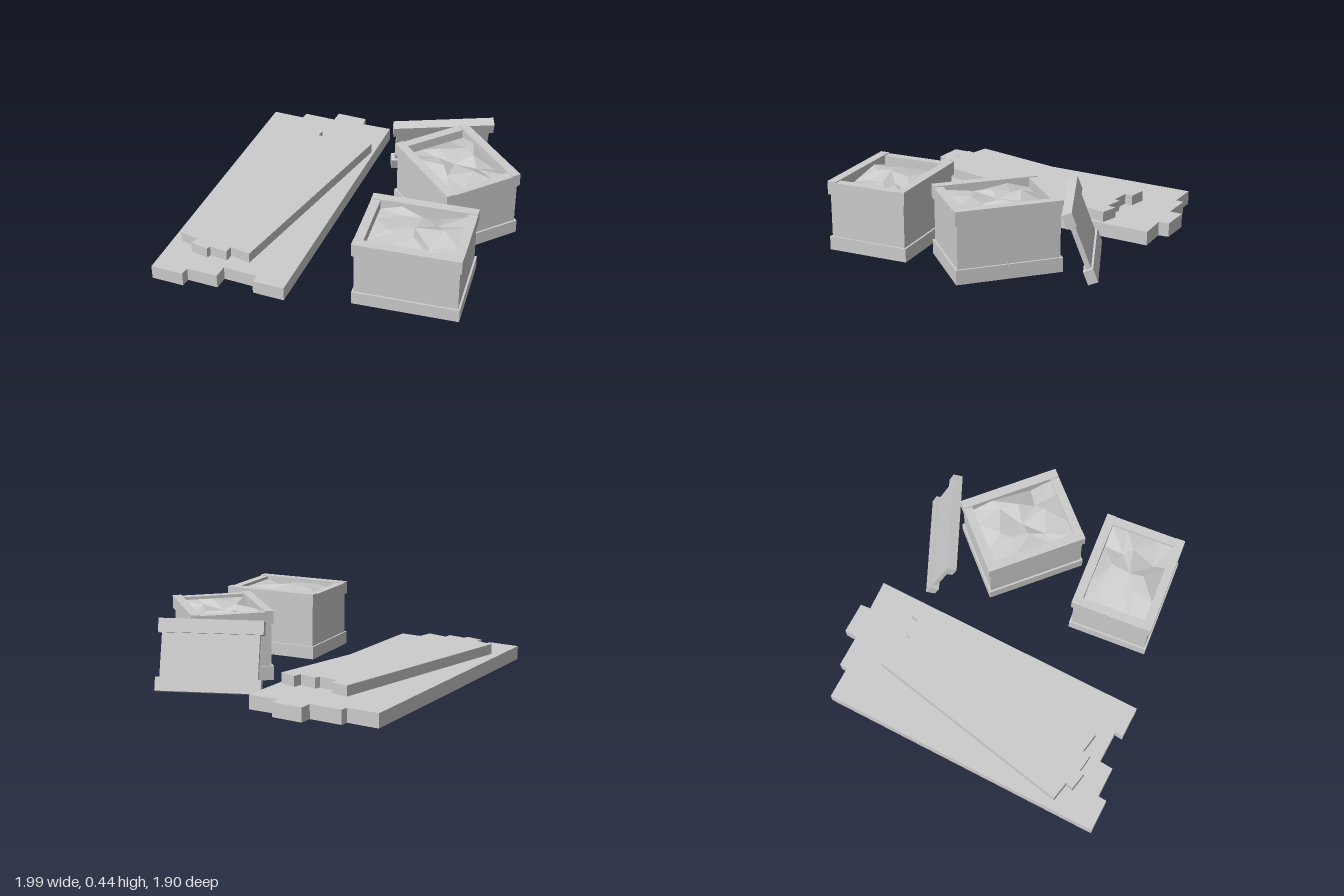
import * as THREE from 'three';

const grey = new THREE.MeshStandardMaterial({ color: 0xcccccc, side: THREE.DoubleSide, flatShading: true });
grey.name = 'plain grey';

function add(parent, name, geometry, x = 0, y = 0, z = 0) {
  const mesh = new THREE.Mesh(geometry, grey);
  mesh.name = name;
  mesh.position.set(x, y, z);
  parent.add(mesh);
  return mesh;
}

function fromTriangles(points) {
  const g = new THREE.BufferGeometry();
  g.setAttribute('position', new THREE.Float32BufferAttribute(points, 3));
  g.computeVertexNormals();
  return g;
}

// Walls between stacked loops of [x, y, z] points, each running clockwise from above
function loft(loops) {
  const out = [];
  for (let k = 0; k + 1 < loops.length; k++) {
    const lo = loops[k], hi = loops[k + 1], n = lo.length;
    for (let i = 0; i < n; i++) {
      const j = (i + 1) % n;
      out.push(...lo[i], ...hi[j], ...lo[j], ...lo[i], ...hi[i], ...hi[j]);
    }
  }
  return fromTriangles(out);
}

const rect = (w, d, y) => [[-w / 2, y, -d / 2], [w / 2, y, -d / 2], [w / 2, y, d / 2], [-w / 2, y, d / 2]];

// Plank platform: notched top sheet with side walls, open underneath
function platform(parent, name, outline, y0, y1) {
  const group = new THREE.Group();
  group.name = name;
  const shape = new THREE.Shape(outline.map(([x, z]) => new THREE.Vector2(x, -z)));
  add(group, name + 'Top', new THREE.ShapeGeometry(shape).rotateX(-Math.PI / 2), 0, y1, 0);
  add(group, name + 'Sides', loft([y0, y1].map(y => outline.map(([x, z]) => [x, y, z]))));
  parent.add(group);
}

// Lumpy contents: a 4 x 4 faceted sheet, low along the rim
function lumps(w, d, heights) {
  const p = (i, j) => {
    const inner = i > 0 && i < 4 && j > 0 && j < 4;
    const h = inner ? heights[(j - 1) * 3 + i - 1] : 0.37 + 0.02 * ((i * 2 + j * 3) % 3);
    const sway = inner ? 0.03 * Math.sin(i * 5 + j * 3) : 0;
    return [(i / 4 - 0.5) * w + sway, h, (j / 4 - 0.5) * d - sway];
  };
  const out = [];
  for (let j = 0; j < 4; j++) for (let i = 0; i < 4; i++) {
    const a = p(i, j), b = p(i + 1, j), c = p(i + 1, j + 1), e = p(i, j + 1);
    if ((i < 2) === (j < 2)) out.push(...a, ...e, ...c, ...a, ...c, ...b);
    else out.push(...a, ...e, ...b, ...b, ...e, ...c);
  }
  return fromTriangles(out);
}

const W = 0.635, D = 0.51, RIM = 0.056, INSET = 0.024;

function crate(parent, name, x, z, turn, y0, heights) {
  const group = new THREE.Group();
  group.name = name;
  group.position.set(x, 0, z);
  group.rotation.y = turn;
  // open-bottomed lower trim with an inner ledge
  add(group, 'lowerTrim', loft([rect(W, D, y0), rect(W, D, 0.088), rect(W - 2 * RIM, D - 2 * RIM, 0.088)]));
  add(group, 'body', loft([rect(W - INSET, D - INSET, 0.088), rect(W - INSET, D - INSET, 0.36)]));
  // upper frame: long boards stand slightly proud of the short ones
  for (const s of [-1, 1]) {
    add(group, 'longRimBoard', new THREE.BoxGeometry(W, 0.082, RIM), 0, 0.394, s * (D - RIM) / 2);
    add(group, 'shortRimBoard', new THREE.BoxGeometry(RIM, 0.076, D - 2 * RIM), s * (W - RIM) / 2, 0.391, 0);
  }
  add(group, 'contents', lumps(W - 2 * RIM, D - 2 * RIM, heights));
  parent.add(group);
}

// Loose crate side leaning against the turned crate
function leaningPanel(parent) {
  const group = new THREE.Group();
  group.name = 'leaningPanel';
  group.position.set(0.405, 0.215, -0.605);
  group.rotation.set(0.36, 0.33, 0, 'YXZ');
  const H = 0.437, T = 0.06, trim = 0.085;
  for (const s of [-1, 1])
    add(group, s < 0 ? 'panelLowerTrim' : 'panelUpperTrim', new THREE.BoxGeometry(W + 0.005, trim, T), 0, s * (H - trim) / 2, 0);
  add(group, 'panelBoard', new THREE.BoxGeometry(W - 0.04, H - 2 * trim, 0.03), 0, 0, -0.002);
  parent.add(group);
}

export function createModel() {
  const model = new THREE.Group();
  model.name = 'cratesAndPlanks';

  platform(model, 'lowerPlanks', [
    [-0.81, -0.865], [-0.61, -0.845], [-0.60, -0.895], [-0.395, -0.875],
    [-0.385, -0.955], [-0.19, -0.935], [-0.19, -0.87], [0, -0.86],
    [-0.19, 0.92], [-0.385, 0.90], [-0.375, 0.85], [-0.585, 0.825],
    [-0.60, 0.91], [-0.79, 0.89], [-0.80, 0.945], [-1, 0.925],
  ], 0.008, 0.095);

  platform(model, 'upperPlanks', [
    [-0.515, -0.65], [-0.405, -0.62], [-0.415, -0.57], [-0.295, -0.545],
    [-0.28, -0.58], [-0.17, -0.545], [-0.155, -0.60], [-0.05, -0.56],
    [-0.455, 0.745], [-0.58, 0.71], [-0.59, 0.76], [-0.70, 0.735],
    [-0.71, 0.765], [-0.82, 0.73], [-0.80, 0.685], [-0.915, 0.65],
  ], 0.095, 0.16);

  crate(model, 'frontCrate', 0.508, 0.585, 0, 0.005,
    [0.40, 0.42, 0.40, 0.41, 0.435, 0.42, 0.42, 0.43, 0.39]);
  crate(model, 'turnedCrate', 0.592, -0.145, -0.832, 0,
    [0.41, 0.43, 0.40, 0.42, 0.39, 0.43, 0.40, 0.42, 0.41]);
  leaningPanel(model);
  return model;
}
